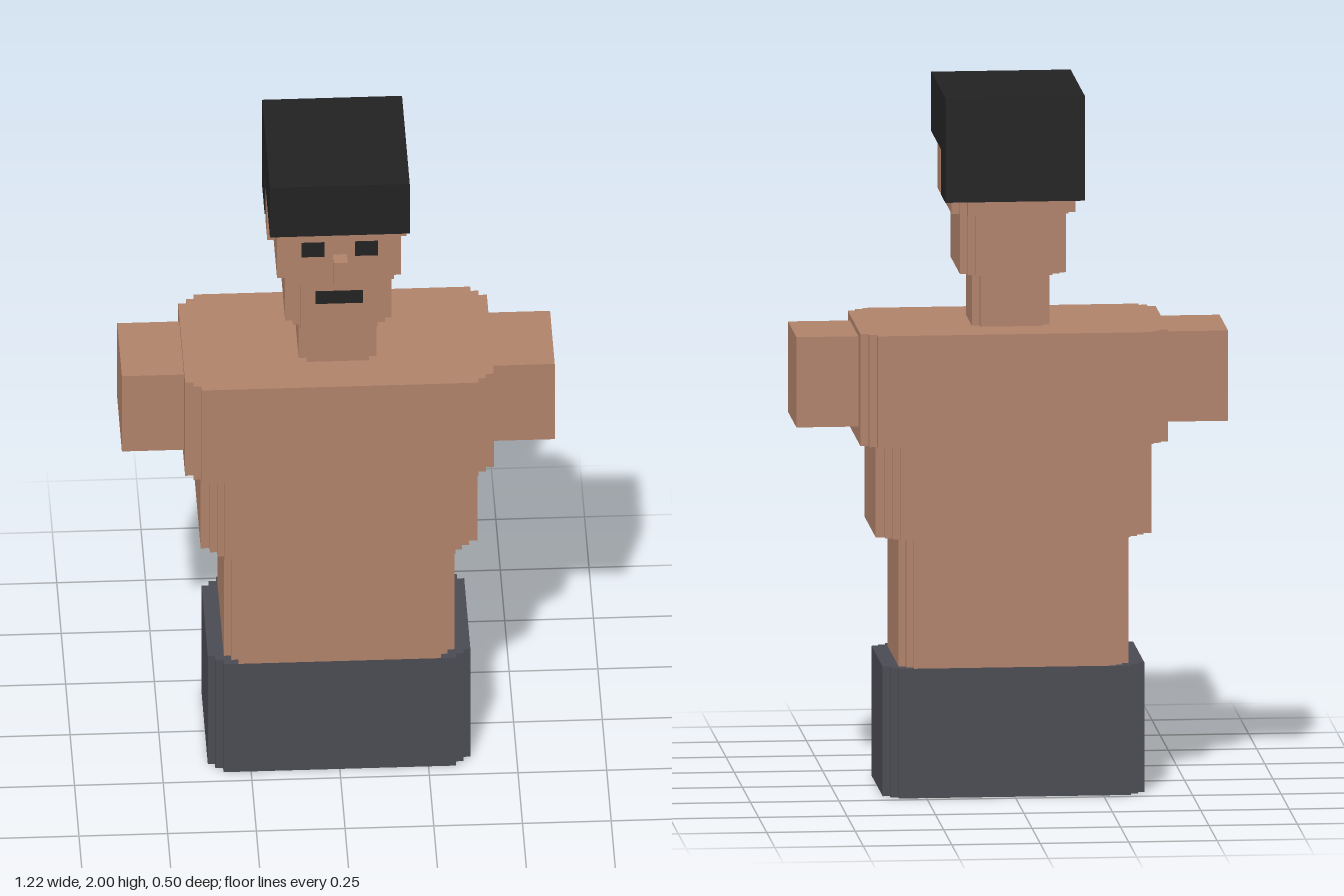
import * as THREE from 'three';

const mat = (name, color) => {
  const m = new THREE.MeshStandardMaterial({ color });
  m.name = name;
  return m;
};

export function createModel() {
  const group = new THREE.Group();
  const skin = mat('skin', 0xb0826a);
  const black = mat('black', 0x222222);
  const cloth = mat('dark cloth', 0x4a4a52);

  // Box given by its lower and upper limits on each axis
  function box(name, material, [x0, x1], [y0, y1], [z0, z1]) {
    const mesh = new THREE.Mesh(new THREE.BoxGeometry(x1 - x0, y1 - y0, z1 - z0), material);
    mesh.position.set((x0 + x1) / 2, (y0 + y1) / 2, (z0 + z1) / 2);
    mesh.name = name;
    group.add(mesh);
  }

  // Block with staircase corners: halfWidths run from the side face to the front face
  function steppedBlock(name, material, halfWidths, [y0, y1], [z0, z1], step = 0.021) {
    const n = halfWidths.length, mid = (z0 + z1) / 2, half = (z1 - z0) / 2;
    const corner = [];
    halfWidths.forEach((x, i) => {
      const z = half - step * (n - 1 - i);
      if (i > 0) corner.push([x, half - step * (n - i)]);
      corner.push([x, z]);
    });
    const mirror = (sx, sz) => corner.map(([x, z]) => new THREE.Vector2(x * sx, z * sz - mid));
    const outline = [
      ...mirror(1, 1), ...mirror(-1, 1).reverse(),
      ...mirror(-1, -1), ...mirror(1, -1).reverse(),
    ];
    const geo = new THREE.ExtrudeGeometry(new THREE.Shape(outline), { depth: y1 - y0, bevelEnabled: false });
    geo.rotateX(-Math.PI / 2);
    const mesh = new THREE.Mesh(geo, material);
    mesh.position.y = y0;
    mesh.name = name;
    group.add(mesh);
  }

  // Torso
  steppedBlock('trousers', cloth, [0.37, 0.35, 0.328], [0, 0.37], [-0.226, 0.206]);
  steppedBlock('waist', skin, [0.325, 0.305, 0.285], [0.37, 0.74], [-0.226, 0.206]);
  steppedBlock('ribcage', skin, [0.39, 0.365, 0.345, 0.325], [0.74, 1.005], [-0.248, 0.226]);
  steppedBlock('chest', skin, [0.435, 0.412, 0.39], [1.005, 1.325], [-0.248, 0.226]);

  // Neck and head
  steppedBlock('neck', skin, [0.11, 0.088], [1.325, 1.485], [-0.116, 0.1]);
  steppedBlock('jaw', skin, [0.15, 0.13, 0.108], [1.485, 1.66], [-0.204, 0.165]);
  steppedBlock('head', skin, [0.175, 0.153, 0.133], [1.66, 1.83], [-0.222, 0.206]);

  // Hair
  box('hairTop', black, [-0.197, 0.197], [1.83, 2], [-0.228, 0.207]);
  box('hairBack', black, [-0.197, 0.197], [1.7, 1.83], [-0.228, -0.096]);

  // Face
  box('nose', skin, [-0.02, 0.02], [1.68, 1.765], [0.2, 0.249]);
  box('mouth', black, [-0.067, 0.067], [1.57, 1.612], [0.162, 0.168]);

  // Mirrored parts
  for (const [side, s] of [['left', 1], ['right', -1]]) {
    const span = (a, b) => (s > 0 ? [a, b] : [-b, -a]);
    box(side + 'Arm', skin, span(0.42, 0.61), [1.05, 1.308], [-0.142, 0.12]);
    box(side + 'Ear', skin, span(0.165, 0.196), [1.7, 1.83], [-0.075, 0.032]);
    box(side + 'Eye', black, span(0.043, 0.108), [1.76, 1.808], [0.203, 0.209]);
  }
  return group;
}
